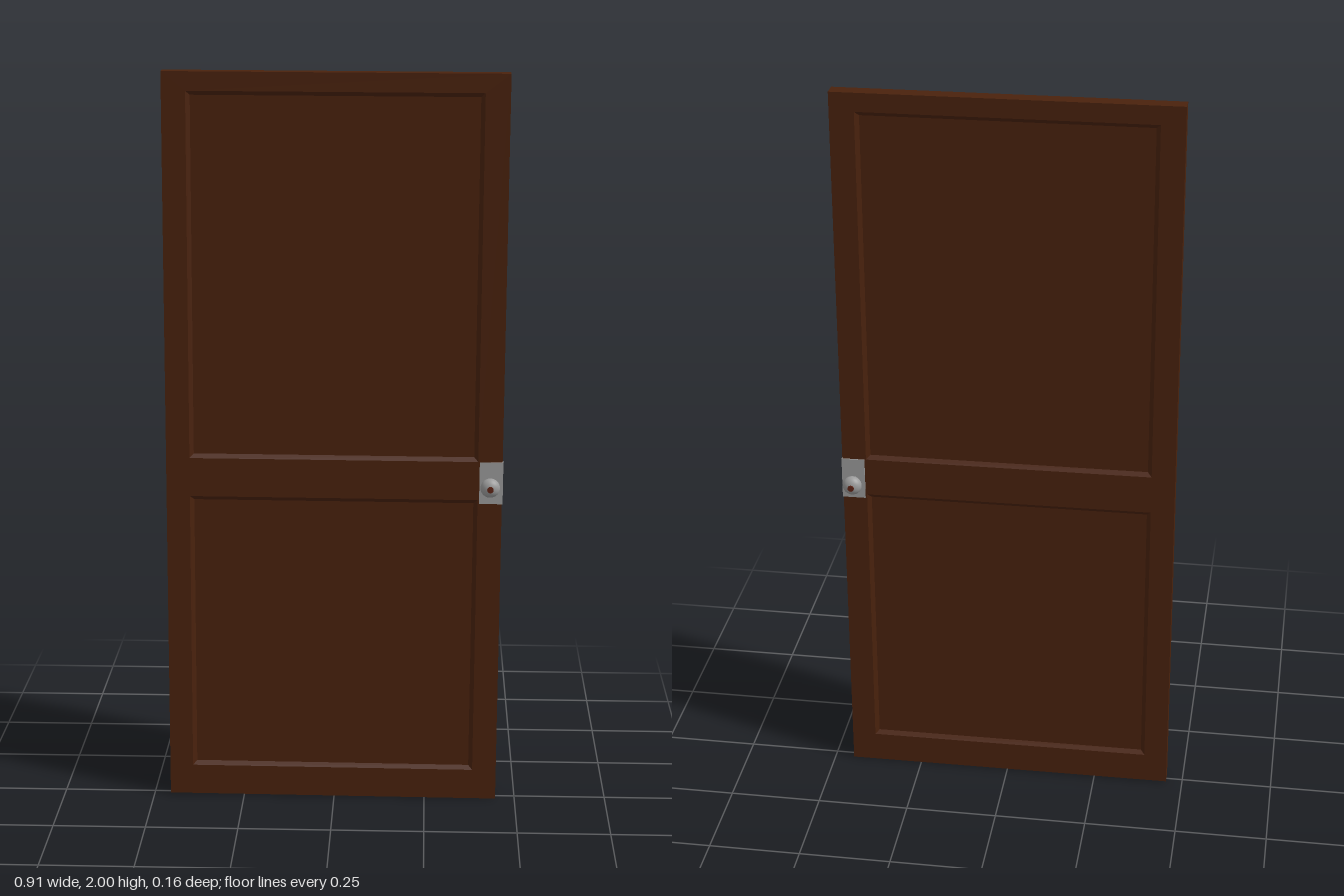
import * as THREE from 'three';

const W = 0.902, H = 1.996, T = 0.041; // door slab
const DEPTH = 0.009, BEVEL = 0.011;    // panel recess and sloped moulding

const wood = new THREE.MeshStandardMaterial({ color: 0x4a220d });
wood.name = 'dark wood';
const metal = new THREE.MeshStandardMaterial({ color: 0x9c9c9c });
metal.name = 'brushed metal';
const keyRed = new THREE.MeshStandardMaterial({ color: 0x5e2415 });
keyRed.name = 'red brown';

// Recessed panels: left, right, bottom, top
const panels = [
  [-0.388, 0.386, 0.966, 1.946],
  [-0.388, 0.386, 0.084, 0.86],
];

function add(parent, name, geometry, material, x = 0, y = 0, z = 0) {
  const mesh = new THREE.Mesh(geometry, material);
  mesh.name = name;
  mesh.position.set(x, y, z);
  parent.add(mesh);
  return mesh;
}

// Sloped moulding that runs from the frame face down to the panel
function mouldingGeometry([l, r, b, t]) {
  const ring = (d, z) => [[l + d, b + d, z], [r - d, b + d, z], [r - d, t - d, z], [l + d, t - d, z]];
  const outer = ring(0, T / 2), inner = ring(BEVEL, T / 2 - DEPTH);
  const points = [];
  for (let i = 0; i < 4; i++) {
    const j = (i + 1) % 4;
    points.push(outer[i], outer[j], inner[j], outer[i], inner[j], inner[i]);
  }
  const geometry = new THREE.BufferGeometry();
  geometry.setAttribute('position', new THREE.Float32BufferAttribute(points.flat(), 3));
  geometry.computeVertexNormals();
  return geometry;
}

function buildFrame() {
  const shape = new THREE.Shape();
  shape.moveTo(-W / 2, 0).lineTo(W / 2, 0).lineTo(W / 2, H).lineTo(-W / 2, H).closePath();
  for (const [l, r, b, t] of panels) {
    const hole = new THREE.Path();
    hole.moveTo(l, b).lineTo(l, t).lineTo(r, t).lineTo(r, b).closePath();
    shape.holes.push(hole);
  }
  const geometry = new THREE.ExtrudeGeometry(shape, { depth: T, bevelEnabled: false });
  return geometry.translate(0, 0, -T / 2);
}

// Plate, stem, knob and centre button for one face
function buildHandle(name) {
  const handle = new THREE.Group();
  handle.name = name;
  add(handle, 'facePlate', new THREE.BoxGeometry(0.062, 0.115, 0.003), metal, 0.421, 0.908, T / 2 + 0.0015);
  const stem = add(handle, 'stem', new THREE.CylinderGeometry(0.009, 0.009, 0.03, 20), metal, 0.418, 0.905, 0.033);
  stem.rotation.x = Math.PI / 2;
  const knob = add(handle, 'knob', new THREE.SphereGeometry(0.026, 28, 18), metal, 0.418, 0.905, 0.0585);
  knob.scale.z = 0.76;
  const button = add(handle, 'keyButton', new THREE.CylinderGeometry(0.0085, 0.0085, 0.006, 16), keyRed, 0.418, 0.905, 0.0775);
  button.rotation.x = Math.PI / 2;
  return handle;
}

export function createModel() {
  const model = new THREE.Group();
  model.name = 'door';
  const leaf = new THREE.Group();
  leaf.name = 'doorLeaf';

  add(leaf, 'frame', buildFrame(), wood);
  for (const p of panels) {
    const [l, r, b, t] = p;
    add(leaf, 'panel', new THREE.BoxGeometry(r - l, t - b, T - 2 * DEPTH), wood, (l + r) / 2, (b + t) / 2, 0);
    for (const angle of [0, Math.PI]) {
      // the rear moulding mirrors the panel so it lands on the same opening
      const moulding = add(leaf, 'moulding', mouldingGeometry(angle ? [-r, -l, b, t] : p), wood);
      moulding.rotation.y = angle;
    }
  }

  // Front handle, and a rear one turned around its own axis
  leaf.add(buildHandle('frontHandle'));
  const back = buildHandle('backHandle');
  for (const part of back.children) part.position.x *= -1;
  back.rotation.y = Math.PI;
  leaf.add(back);

  // Latch strips on the door edge, with a gap between
  for (const side of [-1, 1]) {
    add(leaf, 'latchStrip', new THREE.BoxGeometry(0.002, 0.115, 0.019), metal, W / 2 + 0.001, 0.908, side * 0.0135);
  }

  // The leaf hangs very slightly off square
  const tilt = new THREE.Group();
  tilt.name = 'tiltedLeaf';
  leaf.position.y = -H / 2;
  tilt.add(leaf);
  tilt.position.y = 1;
  tilt.rotation.z = -0.004;
  model.add(tilt);
  return model;
}
